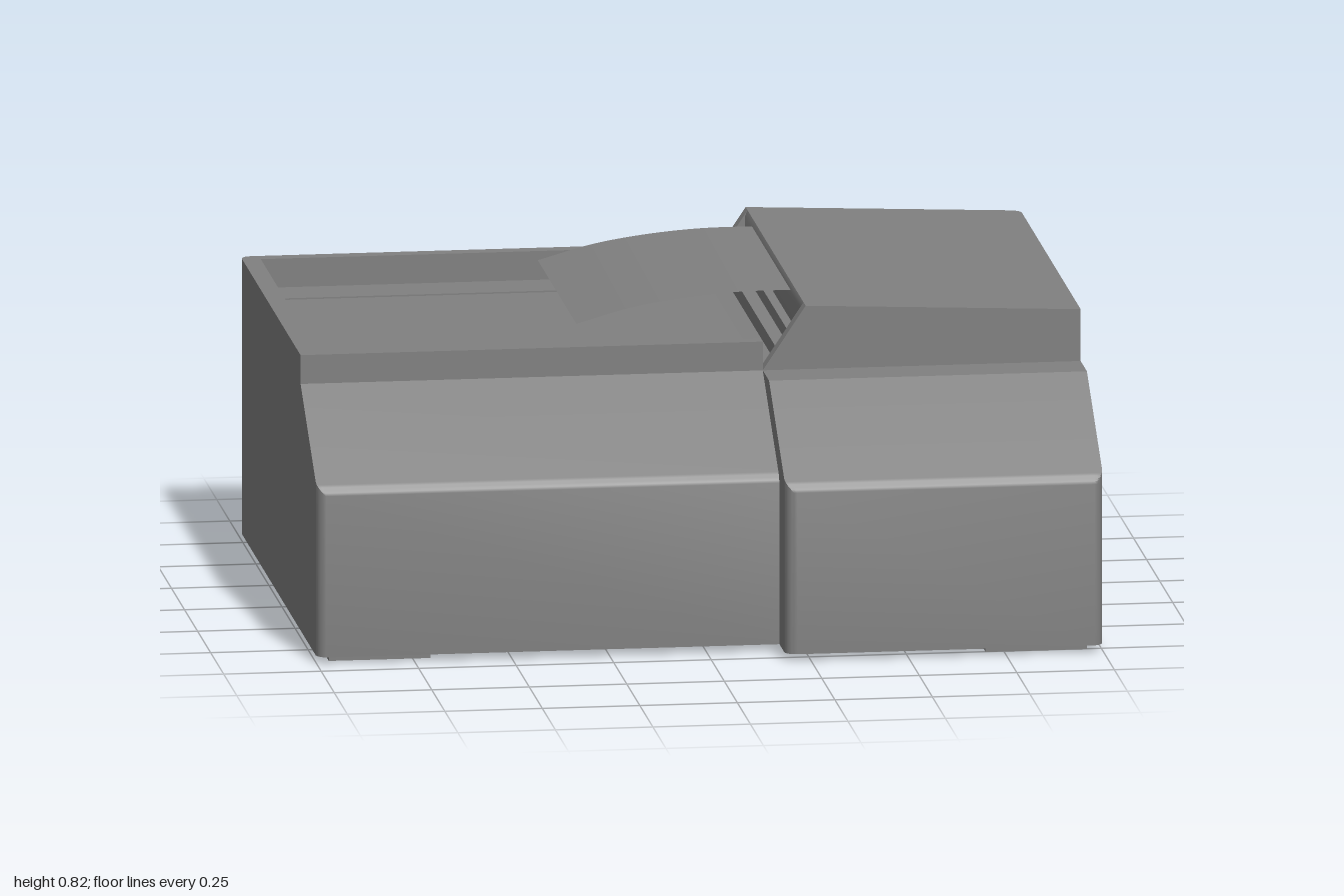
import * as THREE from 'three';
import { toCreasedNormals } from 'three/addons/utils/BufferGeometryUtils.js';

const material = new THREE.MeshStandardMaterial({ color: 0x808080 });
const paperMaterial = new THREE.MeshStandardMaterial({ color: 0x808080, side: THREE.DoubleSide });

// Main dimensions
const BASE = 0.018, DECK = 0.66, FLOOR = 0.656, RIM = 0.735, LIP = 0.45;
const SPLIT = 0.185, RIDGE = 0.295;       // tray/module joint and module ridge in x
const BACK = -0.795, STEP = 0.355;        // rear wall and raised part's front in z
const R = 0.03;                           // vertical corner radius

function part(name, geometry) {
  const mesh = new THREE.Mesh(toCreasedNormals(geometry, 0.5), material);
  mesh.name = name;
  return mesh;
}

// Plan outline with optional rounded corners; points are [x, z, radius]
function planShape(points) {
  const shape = new THREE.Shape();
  const corners = points.map(([x, z]) => new THREE.Vector2(x, -z));
  const n = corners.length;
  corners.forEach((corner, i) => {
    const r = points[i][2] ?? 0;
    const toward = (j) => corner.clone().add(corners[j % n].clone().sub(corner).setLength(r));
    const a = toward(i + n - 1), b = toward(i + 1);
    if (i === 0) shape.moveTo(a.x, a.y); else shape.lineTo(a.x, a.y);
    if (r) shape.quadraticCurveTo(corner.x, corner.y, b.x, b.y);
  });
  shape.closePath();
  return shape;
}

// Upright prism over a plan outline whose top follows top(x)
function prism(name, points, bottom, top) {
  const g = new THREE.ExtrudeGeometry(planShape(points), { depth: 1, bevelEnabled: false, curveSegments: 6 });
  g.rotateX(-Math.PI / 2);
  const p = g.attributes.position;
  for (let i = 0; i < p.count; i++) p.setY(i, p.getY(i) > 0.5 ? top(p.getX(i)) : bottom);
  return part(name, g);
}

const level = (y) => () => y;
const rect = (x0, x1, z0, z1) => [[x0, z0], [x0, z1], [x1, z1], [x1, z0]];

// Solid with a constant x-y profile between two z positions
function profileAlongZ(name, profile, z0, z1) {
  const shape = new THREE.Shape(profile.map(([x, y]) => new THREE.Vector2(x, y)));
  const g = new THREE.ExtrudeGeometry(shape, { depth: z1 - z0, bevelEnabled: false });
  g.translate(0, 0, z0);
  return part(name, g);
}

// Front block: flat ledge, slope with a softened lower edge, rounded vertical corners
function frontBlock(name, x0, x1, ledge, front, roundRight) {
  const fillet = 0.02, slope = (DECK - LIP) / (front - ledge);
  const shape = new THREE.Shape();
  shape.moveTo(STEP, BASE);
  shape.lineTo(front, BASE);
  shape.lineTo(front, LIP - fillet);
  shape.quadraticCurveTo(front, LIP, front - fillet, LIP + fillet * slope);
  shape.lineTo(ledge, DECK);
  if (ledge > STEP) shape.lineTo(STEP, DECK);
  shape.closePath();

  // Stations across the width, dense around the rounded corners
  const arc = [0, 1, 2, 3, 4, 5, 6].map((i) => {
    const t = (i / 6) * Math.PI / 2;
    return { dx: R * (1 - Math.cos(t)), inset: R * (1 - Math.sin(t)) };
  });
  const stations = arc.map(({ dx, inset }) => ({ x: x0 + dx, inset }));
  if (roundRight) stations.push(...arc.map(({ dx, inset }) => ({ x: x1 - dx, inset })).reverse());
  else stations.push({ x: x1, inset: 0 });

  const steps = stations.length - 1;
  const g = new THREE.ExtrudeGeometry(shape, { depth: steps, steps, bevelEnabled: false, curveSegments: 5 });
  const p = g.attributes.position;
  for (let i = 0; i < p.count; i++) {
    const { x, inset } = stations[Math.round(p.getZ(i))];
    const z = Math.min(p.getX(i), front - inset);
    const lift = p.getY(i) > LIP - fillet / 2 ? (p.getX(i) - z) * slope : 0;
    p.setXYZ(i, x, p.getY(i) + lift, z);
  }
  // Swapping the axes mirrors the solid, so turn its triangles round
  for (let i = 0; i < p.count; i += 3) {
    const b = new THREE.Vector3().fromBufferAttribute(p, i + 1);
    const c = new THREE.Vector3().fromBufferAttribute(p, i + 2);
    p.setXYZ(i + 1, c.x, c.y, c.z);
    p.setXYZ(i + 2, b.x, b.y, b.z);
  }
  return part(name, g);
}

// L-shaped foot: corner at (x, z), arms running along sx and sz
function foot(x, z, sx, sz) {
  const w = 0.05, lx = 0.26 * sx, lz = 0.14 * sz;
  const pts = [[x, z], [x + lx, z], [x + lx, z + w * sz], [x + w * sx, z + w * sz], [x + w * sx, z + lz], [x, z + lz]];
  return prism('foot', pts, 0, level(BASE + 0.002));
}

// Thin curved sheet running from the tray into the slot
function sheet() {
  const curve = new THREE.CatmullRomCurve3([
    [-0.26, 0.74], [-0.12, 0.778], [0.02, 0.8], [0.16, 0.811], [0.29, 0.812],
  ].map(([x, y]) => new THREE.Vector3(x, y, 0)));
  const g = new THREE.PlaneGeometry(1, 0.74, 20, 1);
  g.rotateX(-Math.PI / 2);
  const p = g.attributes.position;
  for (let i = 0; i < p.count; i++) {
    const c = curve.getPoint(THREE.MathUtils.clamp(p.getX(i) + 0.5, 0, 1));
    p.setXYZ(i, c.x, c.y, p.getZ(i) - 0.26);
  }
  g.computeVertexNormals();
  const mesh = new THREE.Mesh(g, paperMaterial);
  mesh.name = 'paperSheet';
  return mesh;
}

export function createModel() {
  const model = new THREE.Group();
  model.name = 'desktopMachine';

  // Tray half: rear block and sloping front
  const tray = new THREE.Group();
  tray.name = 'traySection';
  tray.add(
    prism('trayBody', [[-1, BACK, R], [-1, STEP], [SPLIT, STEP], [SPLIT, BACK]], BASE, level(FLOOR)),
    frontBlock('trayFront', -1, SPLIT, STEP, 0.674, false),
  );

  // Three-sided rim, open toward the module
  const inX = -0.953, inBack = -0.757, inFront = 0.314;
  tray.add(prism('trayRim', [
    [-1, BACK, R], [-1, STEP], [SPLIT, STEP], [SPLIT, inFront],
    [inX, inFront], [inX, inBack], [SPLIT, inBack], [SPLIT, BACK],
  ], FLOOR, level(RIM)));

  // Raised strips on both sides of the paper channel
  for (const [z0, z1] of [[inBack, -0.63], [0.11, inFront]]) {
    tray.add(prism('trayFloorStrip', rect(inX, SPLIT, z0, z1), FLOOR, level(DECK)));
  }
  model.add(tray);

  // Module half: tall housing behind a ledge and sloping front
  const module = new THREE.Group();
  module.name = 'printModule';
  const roof = (x) => THREE.MathUtils.mapLinear(x, RIDGE, 1, 0.825, 0.795);
  module.add(
    prism('moduleHousing', [[RIDGE, BACK], [RIDGE, STEP], [1, STEP], [1, BACK, R]], BASE, roof),
    frontBlock('moduleFront', SPLIT, 1, 0.475, 0.795, true),
  );

  // Slanted cheeks at each end of the paper slot
  for (const [z0, z1] of [[BACK, inBack], [inFront, STEP]]) {
    module.add(profileAlongZ('slotCheek',
      [[SPLIT, BASE], [RIDGE, BASE], [RIDGE, 0.825], [SPLIT, DECK]], z0, z1));
  }

  // Stepped guide inside the slot
  module.add(profileAlongZ('slotGuide', [
    [SPLIT, BASE], [RIDGE, BASE], [RIDGE, 0.825], [0.288, 0.81], [0.288, 0.735],
    [0.265, 0.735], [0.265, 0.7], [0.23, 0.7], [0.23, DECK], [SPLIT, FLOOR],
  ], inBack, inFront));
  model.add(module, sheet());

  // Feet
  const feet = new THREE.Group();
  feet.name = 'feet';
  feet.add(
    foot(-0.965, 0.635, 1, -1), foot(0.963, 0.755, -1, -1),
    foot(-0.965, -0.75, 1, 1), foot(0.963, -0.75, -1, 1),
  );
  model.add(feet);
  return model;
}
